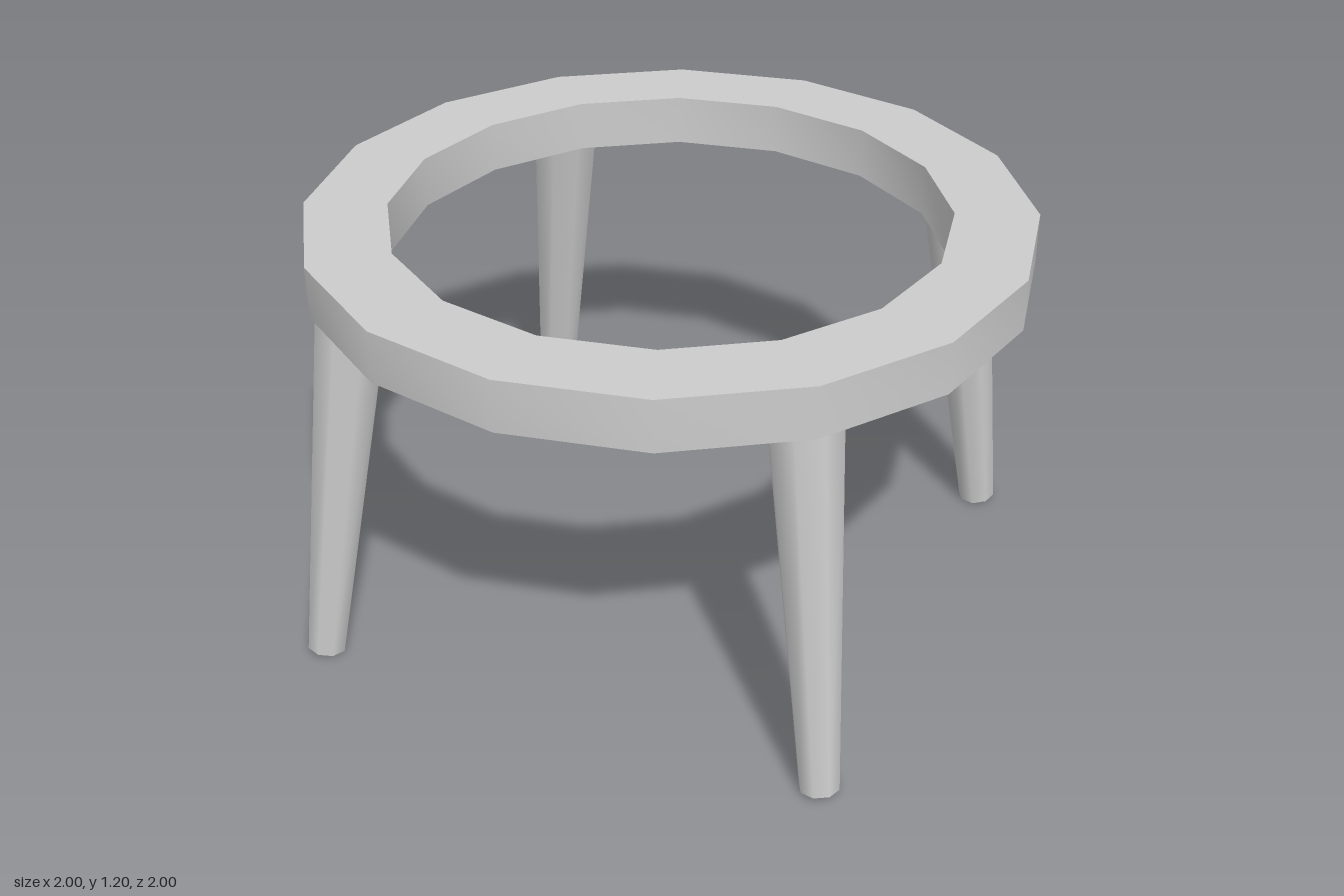
import * as THREE from 'three';
import { toCreasedNormals } from 'three/addons/utils/BufferGeometryUtils.js';

export function createModel() {
  const model = new THREE.Group();
  model.name = 'roundFrame';
  const material = new THREE.MeshStandardMaterial({ color: 0xcccccc });

  // Flat sixteen-sided ring with a rectangular section
  const bottom = 1.055, top = 1.2, inner = 0.77, outer = 1;
  const section = [
    [inner, bottom], [outer, bottom], [outer, top], [inner, top], [inner, bottom],
  ].map(([r, y]) => new THREE.Vector2(r, y));
  const ring = new THREE.Mesh(toCreasedNormals(new THREE.LatheGeometry(section, 16), 0.6), material);
  ring.name = 'topRing';
  model.add(ring);

  // Tapered, splayed eight-sided leg running slightly into the ring
  const foot = new THREE.Vector3(0.762, 0.009, 0.726);
  const head = new THREE.Vector3(0.64, 1.07, 0.617);
  const axis = head.clone().sub(foot);
  const legGeometry = new THREE.CylinderGeometry(0.1, 0.055, axis.length(), 8);
  legGeometry.rotateY(THREE.MathUtils.degToRad(5));
  legGeometry.applyQuaternion(
    new THREE.Quaternion().setFromUnitVectors(new THREE.Vector3(0, 1, 0), axis.normalize()));
  const middle = foot.clone().add(head).multiplyScalar(0.5);
  legGeometry.translate(middle.x, middle.y, middle.z);

  // Four legs, a quarter turn apart
  ['frontLeftLeg', 'backLeftLeg', 'backRightLeg', 'frontRightLeg'].forEach((name, i) => {
    const leg = new THREE.Mesh(legGeometry, material);
    leg.name = name;
    leg.rotation.y = i * Math.PI / 2;
    model.add(leg);
  });

  return model;
}
